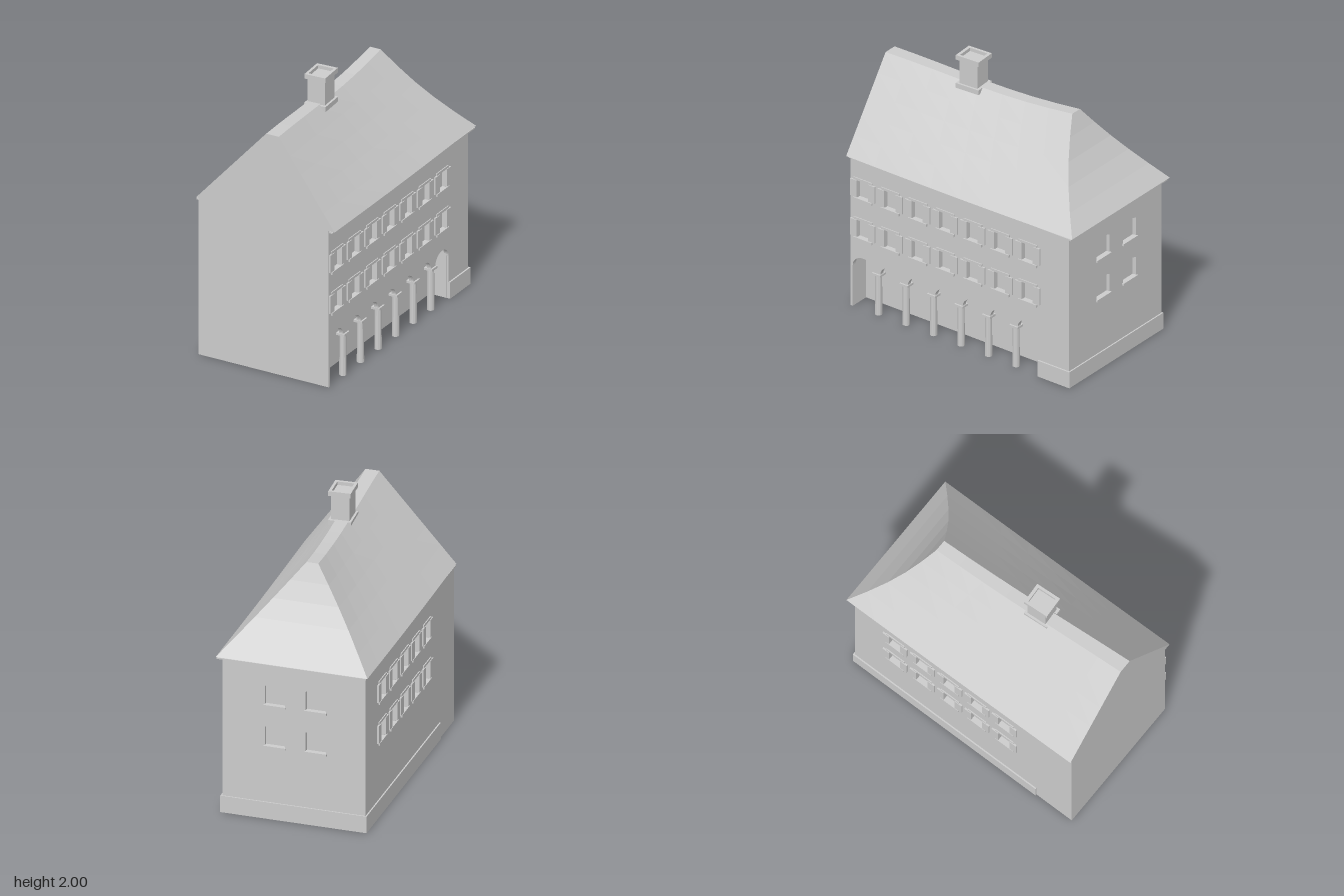
import * as THREE from 'three';

const stone = new THREE.MeshStandardMaterial({ color: 0xcccccc, side: THREE.DoubleSide, flatShading: true });
stone.name = 'pale stone';

function add(parent, name, geometry, x = 0, y = 0, z = 0) {
  const mesh = new THREE.Mesh(geometry, stone);
  mesh.name = name;
  mesh.position.set(x, y, z);
  parent.add(mesh);
  return mesh;
}

// Box given by its minimum and maximum on each axis
function block(parent, name, x0, x1, y0, y1, z0, z1) {
  return add(parent, name, new THREE.BoxGeometry(x1 - x0, y1 - y0, z1 - z0),
    (x0 + x1) / 2, (y0 + y1) / 2, (z0 + z1) / 2);
}

// Surface patch from a point function over u, v in 0..1
function patch(point, nu, nv) {
  const pos = [], idx = [];
  for (let j = 0; j <= nv; j++) for (let i = 0; i <= nu; i++) pos.push(...point(i / nu, j / nv));
  for (let j = 0; j < nv; j++) for (let i = 0; i < nu; i++) {
    const a = j * (nu + 1) + i, b = a + nu + 1;
    idx.push(a, a + 1, b, a + 1, b + 1, b);
  }
  const g = new THREE.BufferGeometry();
  g.setAttribute('position', new THREE.Float32BufferAttribute(pos, 3));
  g.setIndex(idx);
  g.computeVertexNormals();
  return g;
}

const lerp = THREE.MathUtils.lerp;
const EAVE = 1.19, RIDGE = 1.81, PITCH = 0.2375;
const bays = [0, 1, 2, 3, 4, 5, 6].map(i => -0.86 + i * PITCH);
const floors = [0.55, 0.86];

// Opening with an optionally cambered head
function opening(c, y0, y1, half, camber = 0) {
  const p = new THREE.Path();
  p.moveTo(c - half, y0);
  p.lineTo(c - half, y1 - camber);
  if (camber) p.quadraticCurveTo(c, y1 + camber, c + half, y1 - camber);
  else p.lineTo(c + half, y1);
  p.lineTo(c + half, y0);
  p.closePath();
  return p;
}

// Wall in local space: x runs along it, its outer face is z = 0
function wall(group, shape, thickness) {
  const g = new THREE.ExtrudeGeometry(shape, { depth: thickness, bevelEnabled: false, curveSegments: 8 });
  add(group, 'wall', g, 0, 0, -thickness);
}

function rectangle(a0, a1, y0, y1) {
  return new THREE.Shape([[a0, y0], [a1, y0], [a1, y1], [a0, y1]].map(p => new THREE.Vector2(...p)));
}

// Side window with shutters, lintel, sill and recessed pane
function shutteredWindow(shape, group, c, y) {
  shape.holes.push(opening(c, y + 0.005, y + 0.145, 0.05));
  block(group, 'pane', c - 0.055, c + 0.055, y, y + 0.15, -0.034, -0.028);
  block(group, 'lintel', c - 0.08, c + 0.08, y + 0.142, y + 0.16, -0.01, 0.007);
  block(group, 'sill', c - 0.08, c + 0.08, y - 0.015, y + 0.005, -0.01, 0.013);
  for (const s of [-1, 1]) {
    add(group, 'shutter', new THREE.BoxGeometry(0.057, 0.132, 0.016), c + s * 0.0775, y + 0.076, 0.004);
  }
}

function makeArcadeSide() {
  const g = new THREE.Group();
  g.name = 'arcadeSide';
  const s = new THREE.Shape();
  s.moveTo(-0.968, 0);
  s.lineTo(-0.95, 0);
  for (const c of bays) s.absellipse(c, 0.32, 0.09, 0.08, Math.PI, 0, true);
  s.lineTo(0.655, 0);
  s.lineTo(0.92, 0);
  s.lineTo(0.92, EAVE);
  s.lineTo(-0.968, EAVE);
  s.closePath();
  for (const c of bays) for (const y of floors) shutteredWindow(s, g, c, y);
  wall(g, s, 0.034);
  // Columns with capitals between the arches
  for (let i = 0; i < 6; i++) {
    const a = bays[i] + PITCH / 2;
    add(g, 'column', new THREE.CylinderGeometry(0.024, 0.026, 0.31, 12), a, 0.155, -0.02);
    block(g, 'capital', a - 0.035, a + 0.035, 0.307, 0.324, -0.054, 0.012);
  }
  // Covered walk behind the arches
  block(g, 'walkBackWall', -0.96, 0.66, 0, 0.41, -0.16, -0.15);
  block(g, 'walkCeiling', -0.96, 0.66, 0.405, 0.415, -0.155, -0.03);
  block(g, 'plinth', 0.655, 0.93, 0, 0.125, -0.01, 0.012);
  g.rotation.y = Math.PI / 2;
  g.position.x = 0.505;
  return g;
}

function makePlainSide() {
  const g = new THREE.Group();
  g.name = 'plainSide';
  const s = rectangle(-0.92, 0.968, 0, EAVE);
  for (const c of bays.slice(2)) for (const y of floors) shutteredWindow(s, g, -c, y);
  wall(g, s, 0.03);
  block(g, 'plinth', -0.93, 0.66, 0, 0.125, -0.03, 0.01);
  g.rotation.y = -Math.PI / 2;
  g.position.x = -0.53;
  return g;
}

function makeBack() {
  const g = new THREE.Group();
  g.name = 'backSide';
  const s = rectangle(-0.505, 0.53, 0, EAVE);
  for (const c of [-0.125, 0.17]) for (const y of floors) {
    s.holes.push(opening(c, y, y + 0.155, 0.073, 0.015));
    block(g, 'pane', c - 0.08, c + 0.08, y - 0.01, y + 0.165, -0.034, -0.028);
    block(g, 'sill', c - 0.08, c + 0.08, y - 0.014, y + 0.002, -0.02, 0.014);
  }
  wall(g, s, 0.03);
  block(g, 'plinth', -0.515, 0.54, 0, 0.125, -0.03, 0.01);
  g.rotation.y = Math.PI;
  g.position.z = -0.92;
  return g;
}

// Sagging roof: gable at the front, hip at the back, narrow flat ridge
function makeRoof() {
  const g = new THREE.Group();
  g.name = 'roof';
  const ridgeDip = u => 0.03 * Math.sin(Math.PI * Math.pow(u, 1.5));
  const slope = (eave, ridge, side) => (u, t) => {
    const x = lerp(lerp(eave[0], eave[1], u), lerp(ridge[0], ridge[1], u), t);
    const bow = Math.sin(Math.PI * t);
    return [x - side * 0.008 * bow * u,
      lerp(EAVE - 0.008 * Math.sin(Math.PI * u), RIDGE - ridgeDip(u), t),
      lerp(lerp(0.97, -0.97, u), lerp(0.97, -0.57, u), t) + 0.04 * u * bow];
  };
  const left = slope([-0.547, -0.56], [0.01, -0.07], -1);
  const right = slope([0.553, 0.537], [0.11, 0.015], 1);
  const between = (a, b, s) => a.map((v, i) => lerp(v, b[i], s));
  add(g, 'leftSlope', patch((u, t) => left(1 - u, t), 8, 5));
  add(g, 'rightSlope', patch(right, 8, 5));
  add(g, 'hip', patch((s, t) => between(right(1, t), left(1, t), s), 1, 5));
  add(g, 'ridge', patch((s, u) => between(left(u, 1), right(u, 1), s), 1, 8));
  add(g, 'gable', patch((s, t) => between(left(0, t), right(0, t), s), 1, 1));
  block(g, 'eaves', -0.545, 0.535, 1.172, 1.182, -0.96, 0.965);
  return g;
}

// Hollow-topped chimney with cap and foot collar
function makeChimney() {
  const g = new THREE.Group();
  g.name = 'chimney';
  block(g, 'stack', -0.066, 0.066, -0.1, 0.215, -0.075, 0.075);
  block(g, 'collar', -0.082, 0.082, -0.015, 0.022, -0.095, 0.095);
  const cap = rectangle(-0.08, 0.08, -0.095, 0.095);
  cap.holes.push(rectangle(-0.06, 0.06, -0.072, 0.072));
  const geo = new THREE.ExtrudeGeometry(cap, { depth: 0.035, bevelEnabled: false });
  geo.rotateX(-Math.PI / 2);
  add(g, 'cap', geo, 0, 0.205, 0);
  g.position.set(0.034, 1.76, 0.267);
  g.rotation.y = 0.06;
  return g;
}

export function createModel() {
  const model = new THREE.Group();
  model.name = 'arcadedHouse';
  block(model, 'frontWall', -0.53, 0.505, 0, EAVE, 0.95, 0.968);
  block(model, 'rearBase', -0.515, 0.49, 0.001, 0.41, -0.905, -0.652);
  model.add(makeArcadeSide(), makePlainSide(), makeBack(), makeRoof(), makeChimney());
  return model;
}
